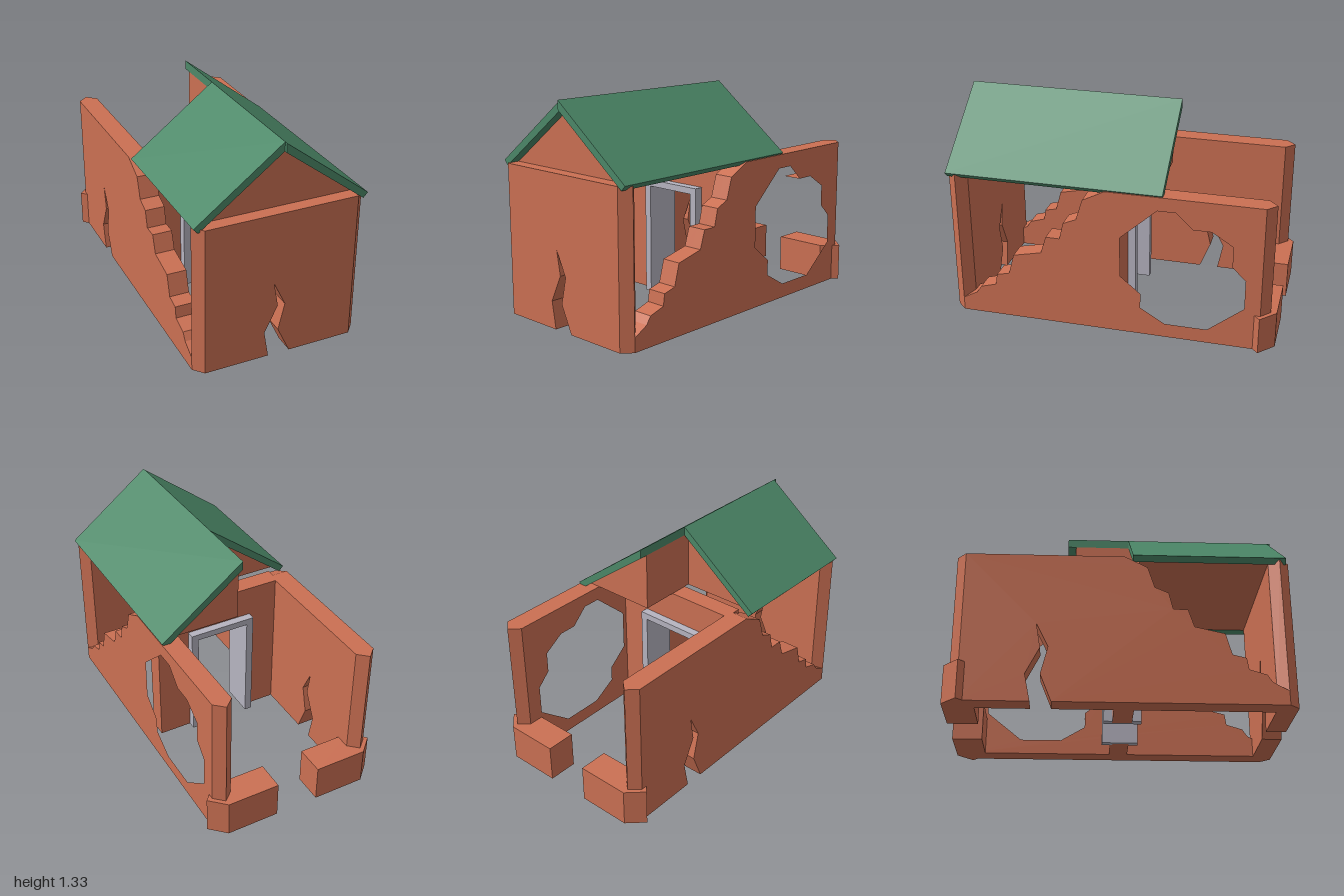
import * as THREE from 'three';

const brick = new THREE.MeshStandardMaterial({ color: 0xcb7053, flatShading: true });
const green = new THREE.MeshStandardMaterial({ color: 0x4c8868, flatShading: true });
const grey = new THREE.MeshStandardMaterial({ color: 0xb6b4c0, flatShading: true });

const T = 0.12; // wall thickness
const toPoints = (pts) => pts.map(([a, b]) => new THREE.Vector2(a, b));

// Extrude an x/y outline, with an optional hole, from z0 to z1
function slab(pts, z0, z1, steps = 1, hole = null) {
  const shape = new THREE.Shape(toPoints(pts));
  if (hole) shape.holes.push(new THREE.Path(toPoints(hole)));
  return new THREE.ExtrudeGeometry(shape, { depth: z1 - z0, steps, bevelEnabled: false }).translate(0, 0, z0);
}

// Pull the outer edge back on both faces so the wall ends in a point
function pointEnds(geometry, isEnd, mid, inset = 0.055) {
  const p = geometry.attributes.position;
  for (let i = 0; i < p.count; i++) {
    const u = p.getX(i);
    if (isEnd(u) && Math.abs(p.getZ(i) - mid) > 0.01) p.setX(i, u - Math.sign(u) * inset);
  }
  geometry.computeVertexNormals();
  return geometry;
}

export function createModel() {
  const model = new THREE.Group();
  const add = (name, geometry, material) => {
    const mesh = new THREE.Mesh(geometry, material);
    mesh.name = name;
    model.add(mesh);
  };

  // Front wall, cracked from the ground up
  const front = slab([
    [-0.52, 0], [-0.07, 0], [-0.098, 0.165], [-0.018, 0.33], [-0.045, 0.48],
    [0.027, 0.33], [-0.012, 0.165], [0.065, 0], [0.52, 0], [0.52, 0.92], [-0.52, 0.92],
  ], 1 - T, 1, 2);
  add('frontWall', pointEnds(front, (u) => Math.abs(u) > 0.5, 1 - T / 2), brick);

  // Side walls, as [z, y], broken in steps towards the front
  const brokenEdge = [
    [0.94, 0], [0.94, 0.085], [0.85, 0.135], [0.82, 0.18], [0.72, 0.21], [0.71, 0.28],
    [0.63, 0.3], [0.595, 0.43], [0.42, 0.47], [0.385, 0.58], [0.3, 0.58], [0.275, 0.685],
    [0.195, 0.72], [0.155, 0.85], [0.02, 0.92], [-0.965, 0.92], [-0.965, 0],
  ];
  const sideCrack = [
    [-0.507, 0], [-0.54, 0.165], [-0.46, 0.325], [-0.485, 0.475],
    [-0.415, 0.33], [-0.455, 0.165], [-0.389, 0],
  ];
  const hole = [
    [-0.07, 0.635], [-0.29, 0.835], [-0.4, 0.835], [-0.5, 0.74], [-0.61, 0.74],
    [-0.735, 0.66], [-0.735, 0.53], [-0.815, 0.45], [-0.815, 0.265], [-0.6, 0.09],
    [-0.345, 0.09], [-0.195, 0.18], [-0.195, 0.275], [-0.07, 0.38],
  ];
  const flip = (pts) => pts.map(([z, y]) => [-z, y]);
  const sideWall = (outline, x0, opening) => {
    const g = slab(flip(outline), x0, x0 + T, 2, opening);
    return pointEnds(g, (u) => u > 0.96, x0 + T / 2).rotateY(Math.PI / 2);
  };
  add('leftWall', sideWall(brokenEdge, 0.4, flip(hole)), brick);
  add('rightWall', sideWall([...brokenEdge, ...sideCrack], -0.4 - T), brick);

  // Partition with a doorway
  add('partitionWall', slab([
    [-0.42, 0], [-0.19, 0], [-0.19, 0.71], [0.19, 0.71], [0.19, 0], [0.42, 0],
    [0.42, 0.92], [-0.42, 0.92],
  ], -0.04, 0.075), brick);

  // Door frame standing proud of the partition on both sides
  add('doorFrame', slab([
    [-0.215, 0], [-0.17, 0], [-0.17, 0.69], [0.17, 0.69], [0.17, 0], [0.215, 0],
    [0.215, 0.73], [-0.215, 0.73],
  ], -0.09, 0.13), grey);

  for (const s of [1, -1]) {
    const side = s > 0 ? 'left' : 'right';
    const mirror = (pts) => pts.map(([x, y]) => [s * x, y]);

    // Roof panel and the solid gable half below it; the right half is shorter
    add(side + 'RoofPanel', slab(
      mirror([[0, 1.33], [0.523, 0.93], [0.495, 0.9], [0, 1.275]]),
      s > 0 ? -0.32 : 0.07, s > 0 ? 1 : 0.98), green);
    add(side + 'Gable', slab(
      mirror([[0, 0.92], [0.468, 0.92], [0, 1.275]]), s > 0 ? -0.27 : 0.11, 0.92), brick);

    // Low back wall stub, outlined in plan as [x, -z]
    const stub = slab(mirror([
      [0.135, 1], [0.46, 1], [0.555, 0.91], [0.465, 0.82], [0.135, 0.82],
    ]), 0, 0.23).rotateX(-Math.PI / 2);
    add(side + 'BackWallStub', stub, brick);
  }
  return model;
}
